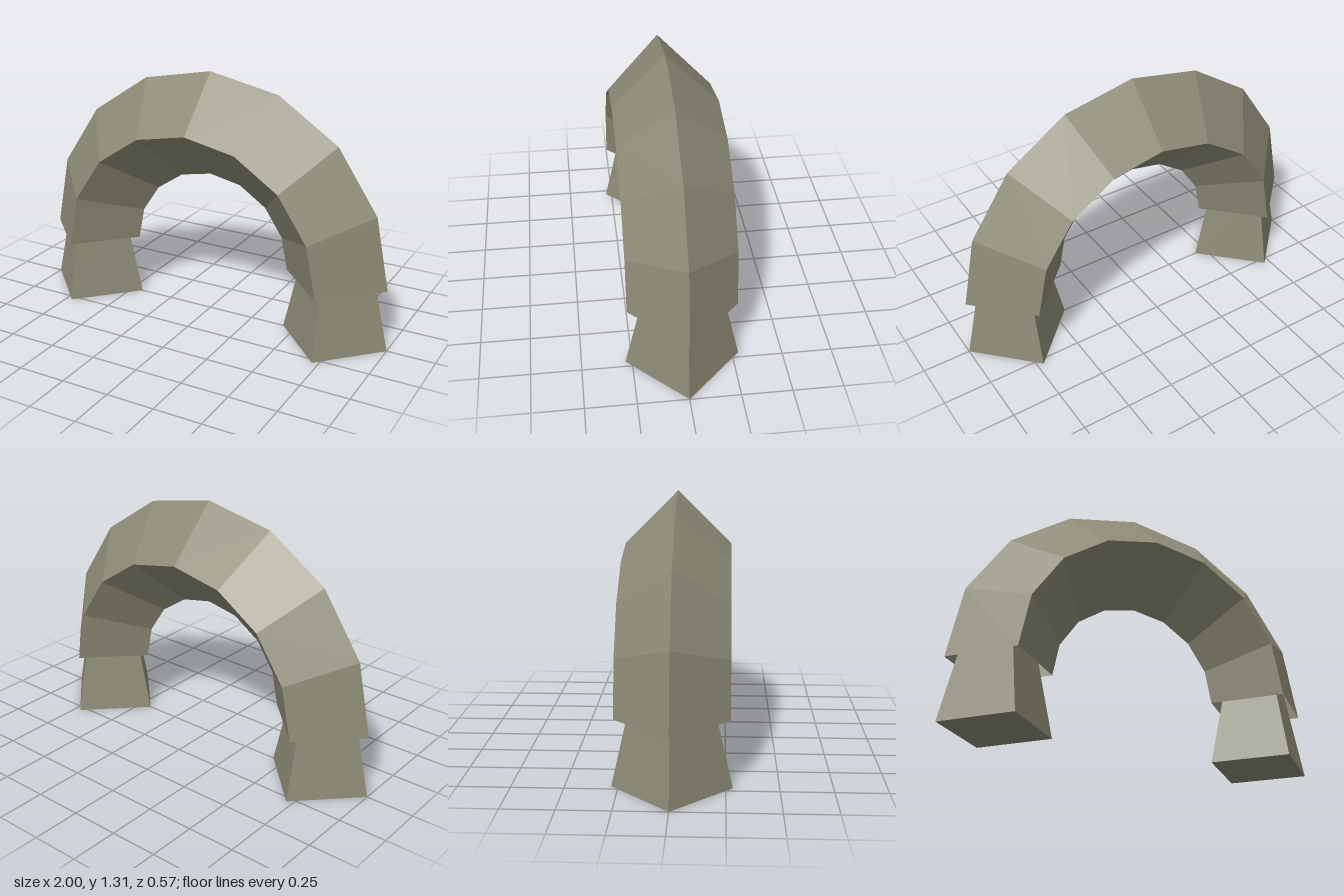
import * as THREE from 'three';

export function createModel() {
  const model = new THREE.Group();
  model.name = 'archway';

  // The arch ends are open, so its inside faces show from below
  const stone = new THREE.MeshStandardMaterial({ color: 0x8c8a76, flatShading: true, side: THREE.DoubleSide });
  stone.name = 'stone';

  const springY = 0.325; // height where the arch starts
  const flare = 0.225; // how fast the feet narrow with height
  const footRadius = 0.283;
  const footHeight = 0.45; // reaches up inside the arch

  // Half ring with a diamond cross-section
  const arch = new THREE.Mesh(new THREE.TorusGeometry(0.715, 0.27, 4, 8, Math.PI), stone);
  arch.name = 'arch';
  arch.position.y = springY;
  model.add(arch);

  // Tapered diamond feet, mirrored left and right
  const footGeometry = new THREE.CylinderGeometry(footRadius - flare * footHeight, footRadius, footHeight, 4);
  for (const side of [1, -1]) {
    const foot = new THREE.Mesh(footGeometry, stone);
    foot.name = side > 0 ? 'leftFoot' : 'rightFoot';
    foot.position.set(side * (1 - footRadius), footHeight / 2, 0);
    model.add(foot);
  }
  return model;
}
